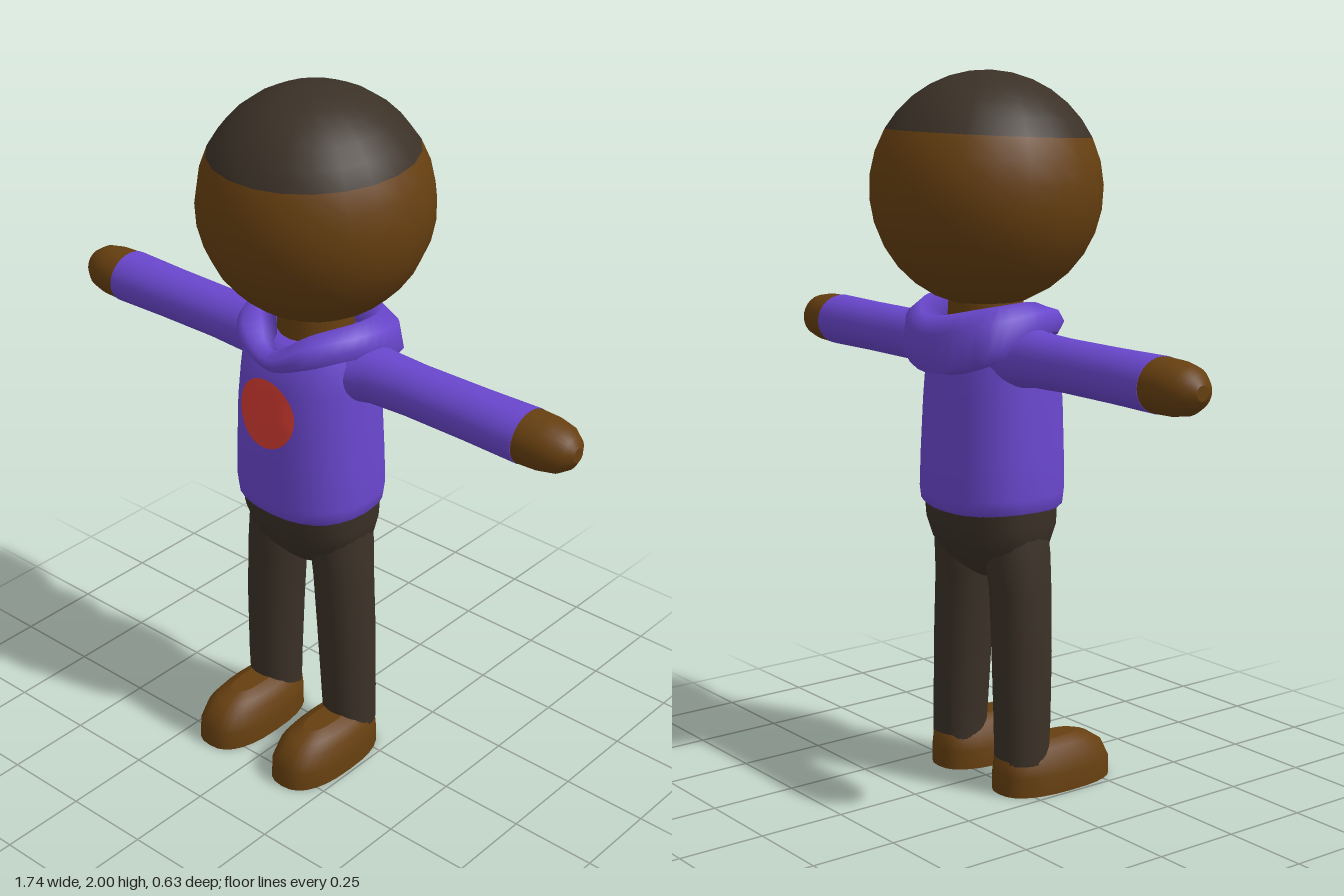
import * as THREE from 'three';

const material = (name, color) => {
  const m = new THREE.MeshStandardMaterial({ color });
  m.name = name;
  return m;
};

// Skin a stack of closed rings, with optional flat end caps
function loft(rings, capped = true) {
  const n = rings[0].length, pos = [], idx = [];
  rings.forEach(r => r.forEach(p => pos.push(p.x, p.y, p.z)));
  for (let i = 0; i < rings.length - 1; i++) {
    for (let j = 0; j < n; j++) {
      const k = (j + 1) % n;
      const a = i * n + j, b = i * n + k, c = a + n, d = b + n;
      idx.push(a, c, b, b, c, d);
    }
  }
  if (capped) {
    [rings[0], rings[rings.length - 1]].forEach((ring, end) => {
      const base = pos.length / 3;
      const mid = ring.reduce((s, p) => s.add(p), new THREE.Vector3()).divideScalar(n);
      [...ring, mid].forEach(p => pos.push(p.x, p.y, p.z));
      for (let j = 0; j < n; j++) {
        const k = (j + 1) % n;
        idx.push(base + n, base + (end ? k : j), base + (end ? j : k));
      }
    });
  }
  const g = new THREE.BufferGeometry();
  g.setAttribute('position', new THREE.Float32BufferAttribute(pos, 3));
  g.setIndex(idx);
  g.computeVertexNormals();
  return g;
}

// Rounded cross-section from a row [y, halfWidth, frontZ, backZ, centreX]
const POWER = 2.3;
function section([y, w, front, back, cx = 0], n = 28, power = POWER) {
  const soft = v => Math.sign(v) * Math.abs(v) ** (2 / power);
  return Array.from({ length: n }, (_, j) => {
    const t = j / n * Math.PI * 2;
    return new THREE.Vector3(cx + w * soft(Math.cos(t)), y,
      (front + back) / 2 + (front - back) / 2 * soft(Math.sin(t)));
  });
}
const body = (rows, power) => loft(rows.map(r => section(r, 28, power)));

const TORSO = [
  [0.80, 0.19, 0.185, -0.145], [0.815, 0.205, 0.2, -0.16], [0.85, 0.21, 0.203, -0.163],
  [0.95, 0.207, 0.203, -0.16], [1.1, 0.2, 0.2, -0.153], [1.2, 0.193, 0.19, -0.145],
  [1.28, 0.19, 0.172, -0.13], [1.31, 0.165, 0.13, -0.1], [1.32, 0.1, 0.08, -0.06],
];

// Front surface depth of the torso at (x, y)
function chestZ(x, y) {
  const i = TORSO.findIndex(r => r[0] > y);
  const a = TORSO[i - 1], b = TORSO[i], f = (y - a[0]) / (b[0] - a[0]);
  const [, w, front, back] = a.map((v, k) => v + (b[k] - v) * f);
  return (front + back) / 2 + (front - back) / 2 * (1 - Math.abs(x / w) ** POWER) ** (1 / POWER);
}

// Hood strands: half outline from the front, over +x, to the back
const HOOD = [
  [[0, 1.25, 0.19], [0.11, 1.28, 0.165], [0.195, 1.30, 0.06], [0.18, 1.23, -0.11], [0, 1.185, -0.15]],
  [[0, 1.27, 0.205], [0.12, 1.315, 0.18], [0.213, 1.33, 0.04], [0.195, 1.26, -0.14], [0, 1.195, -0.205]],
  [[0, 1.29, 0.205], [0.115, 1.345, 0.165], [0.20, 1.36, 0.03], [0.185, 1.34, -0.13], [0, 1.30, -0.212]],
  [[0, 1.31, 0.18], [0.09, 1.36, 0.12], [0.17, 1.388, 0.01], [0.15, 1.38, -0.10], [0, 1.35, -0.195]],
  [[0, 1.29, 0.14], [0.07, 1.33, 0.08], [0.12, 1.34, 0.02], [0.1, 1.33, -0.07], [0, 1.32, -0.1]],
];
function hoodGeometry() {
  const rings = HOOD.map(s => {
    const flip = [3, 2, 1].map(i => s[i]);
    const loop = [s[0], ...[1, 2, 3].map(i => [-s[i][0], s[i][1], s[i][2]]), s[4], ...flip];
    const curve = new THREE.CatmullRomCurve3(loop.map(p => new THREE.Vector3(...p)), true);
    return curve.getPoints(40).slice(0, 40);
  });
  return loft([...rings, rings[0].map(p => p.clone())], false);
}

export function createModel() {
  const skin = material('brown skin', 0x663f10);
  const dark = material('dark charcoal', 0x3b3127);
  const purple = material('purple cloth', 0x6a47ce);
  const red = material('red print', 0xd83c32);

  const model = new THREE.Group();
  const add = (name, geometry, mat) => {
    const mesh = new THREE.Mesh(geometry, mat);
    mesh.name = name;
    model.add(mesh);
    return mesh;
  };

  // Head, with the hair as the upper part of the same ball
  const hairline = 1.08;
  const cap = (start, size, rows) =>
    new THREE.SphereGeometry(0.32, 22, rows, 0, Math.PI * 2, start, size)
      .rotateX(0.055).translate(0, 1.68, 0);
  add('head', cap(hairline, Math.PI - hairline, 10), skin);
  add('hair', cap(0, hairline, 6), dark);
  add('neck', new THREE.CylinderGeometry(0.1, 0.11, 0.17, 20).translate(0, 1.345, 0), skin);

  // Hooded top
  add('torso', body(TORSO), purple);
  add('hood', hoodGeometry(), purple);

  // Round chest print, following the curve of the chest
  const print = new THREE.RingGeometry(0.0001, 0.1, 32, 6);
  const p = print.attributes.position;
  for (let i = 0; i < p.count; i++) {
    const x = p.getX(i) - 0.01, y = p.getY(i) + 1.12;
    p.setXYZ(i, x, y, chestZ(x, y) + 0.005);
  }
  print.computeVertexNormals();
  add('chestPrint', print, red);

  // Hips
  add('hips', body([
    [0.60, 0.035, 0.06, -0.02], [0.62, 0.09, 0.09, -0.05], [0.65, 0.15, 0.118, -0.08],
    [0.70, 0.188, 0.15, -0.118], [0.76, 0.2, 0.175, -0.14], [0.83, 0.2, 0.18, -0.148],
  ]), dark);

  for (const [side, s] of [['left', 1], ['right', -1]]) {
    // Sleeve and hand, lofted upright and then swung outwards
    const limb = rows => body(rows.map(([y, h, d]) => [y, h, d, -d]), 2)
      .rotateZ(-s * Math.PI / 2).translate(0, 1.24, 0);
    add(side + 'Sleeve', limb([
      [0.14, 0.085, 0.1], [0.19, 0.083, 0.09], [0.23, 0.076, 0.08], [0.35, 0.072, 0.075],
      [0.55, 0.072, 0.078], [0.72, 0.074, 0.084],
    ]), purple);
    add(side + 'Hand', limb([
      [0.715, 0.073, 0.083], [0.78, 0.071, 0.079], [0.825, 0.063, 0.067],
      [0.855, 0.044, 0.045], [0.87, 0.02, 0.02],
    ]), skin);

    // Leg
    add(side + 'Leg', body([
      [0.09, 0.076, 0.09, -0.06, s * 0.145], [0.2, 0.078, 0.097, -0.061, s * 0.143],
      [0.4, 0.082, 0.105, -0.062, s * 0.136], [0.58, 0.084, 0.11, -0.063, s * 0.126],
      [0.68, 0.085, 0.115, -0.075, s * 0.116], [0.76, 0.08, 0.11, -0.07, s * 0.11],
    ], 2.1), dark);

    // Shoe with a flat sole and a domed toe
    add(side + 'Shoe', body([
      [0, 0.098, 0.312, -0.064, s * 0.143], [0.055, 0.097, 0.31, -0.064, s * 0.143],
      [0.1, 0.085, 0.288, -0.062, s * 0.143], [0.125, 0.066, 0.25, -0.03, s * 0.143],
      [0.14, 0.035, 0.205, 0.02, s * 0.143],
    ], 2.5), skin);
  }
  return model;
}
